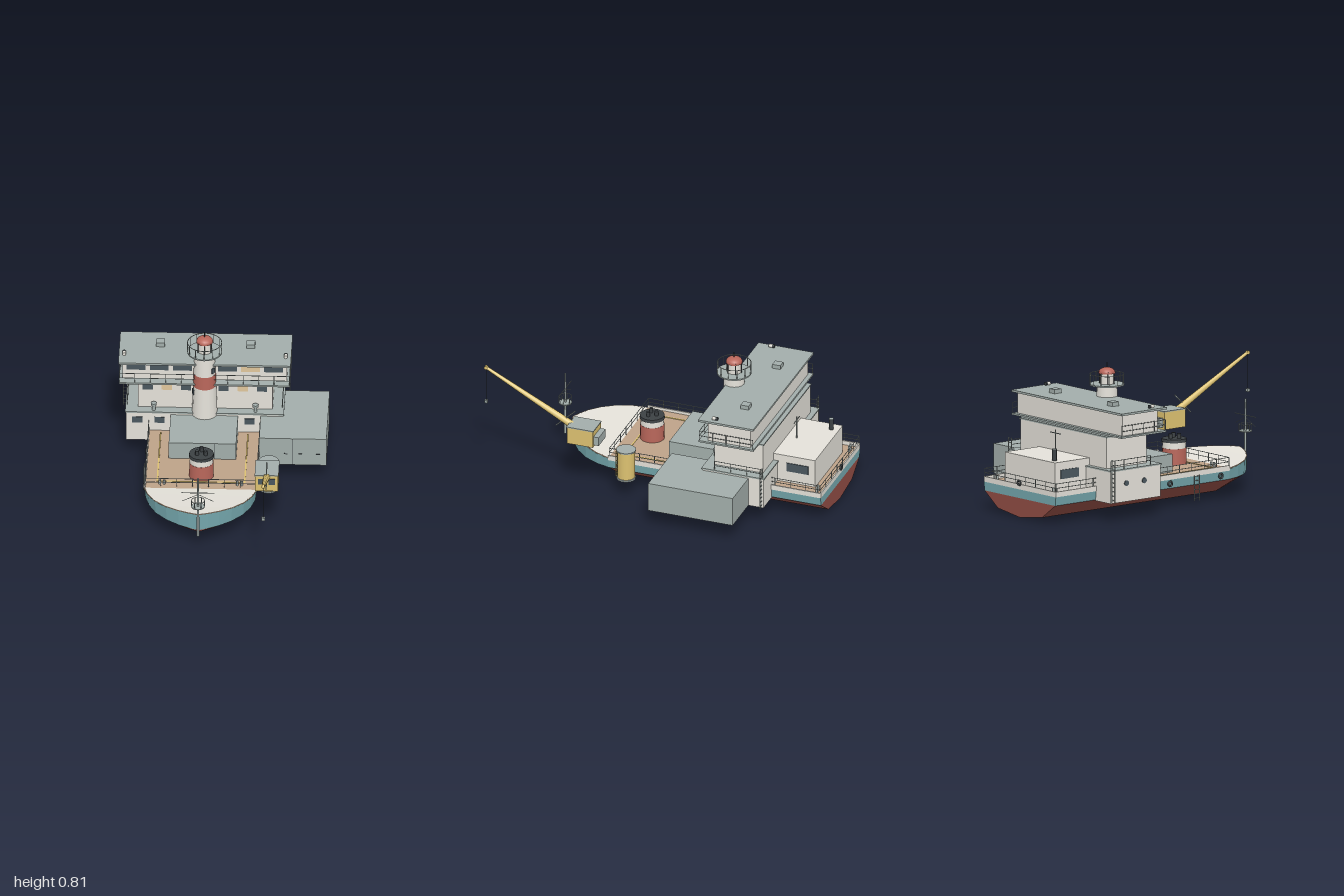
import * as THREE from 'three';

const mat = (name, color) => {
  const m = new THREE.MeshStandardMaterial({ color });
  m.name = name;
  return m;
};
const M = {
  hull: mat('hull red', 0x904c44), teal: mat('teal', 0x74a6ac), cream: mat('cream', 0xe4e1d9),
  grey: mat('grey', 0xa2adaa), deck: mat('deck tan', 0xbda288), yellow: mat('yellow', 0xdcc170),
  red: mat('signal red', 0xb8665a), glass: mat('dark glass', 0x4a565e), dark: mat('black', 0x3c4144),
  lit: mat('lit window', 0xe0c69c),
};
const CX = -0.105; // centre line of the ship
const UP = new THREE.Vector3(0, 1, 0);

export function createModel() {
  const root = new THREE.Group();
  root.name = 'harbourShip';

  const add = (name, geo, material, x = 0, y = 0, z = 0, parent = root) => {
    const m = new THREE.Mesh(geo, material);
    m.name = name;
    m.position.set(x, y, z);
    parent.add(m);
    return m;
  };
  // box given by its limits
  const box = (name, material, x0, x1, y0, y1, z0, z1) =>
    add(name, new THREE.BoxGeometry(x1 - x0, y1 - y0, z1 - z0), material, (x0 + x1) / 2, (y0 + y1) / 2, (z0 + z1) / 2);
  const cyl = (name, material, r0, r1, y0, y1, x, z, n = 16) =>
    add(name, new THREE.CylinderGeometry(r1, r0, y1 - y0, n), material, x, (y0 + y1) / 2, z);
  // round bar between two points
  const bar = (name, material, a, b, r0, r1 = r0, n = 5, parent = root) => {
    const A = new THREE.Vector3(...a), B = new THREE.Vector3(...b), d = B.clone().sub(A);
    const m = add(name, new THREE.CylinderGeometry(r1, r0, d.length(), n), material, 0, 0, 0, parent);
    m.position.copy(A).add(B).multiplyScalar(0.5);
    m.quaternion.setFromUnitVectors(UP, d.normalize());
    return m;
  };
  // railing with posts along a path
  const railing = (name, path, h, levels = 2, r = 0.002, gap = 0.09) => {
    const g = new THREE.Group();
    g.name = name;
    root.add(g);
    for (let i = 0; i + 1 < path.length; i++) {
      const [a, b] = [path[i], path[i + 1]];
      for (let k = 1; k <= levels; k++) {
        const lift = p => [p[0], p[1] + h * k / levels, p[2]];
        bar('rail', M.grey, lift(a), lift(b), r, r, 5, g);
      }
      const n = Math.max(1, Math.round(Math.hypot(b[0] - a[0], b[2] - a[2]) / gap));
      for (let k = 0; k <= n; k++) {
        const p = a.map((v, j) => v + (b[j] - v) * k / n);
        bar('post', M.grey, p, [p[0], p[1] + h, p[2]], r, r, 5, g);
      }
    }
  };
  const ladder = (name, material, x, z, y0, y1, dx, dz) => {
    const g = new THREE.Group();
    g.name = name;
    root.add(g);
    for (const s of [-1, 1]) bar('stile', material, [x + s * dx, y0, z + s * dz], [x + s * dx, y1, z + s * dz], 0.003, 0.003, 5, g);
    for (let y = y0 + 0.015; y < y1; y += 0.025) bar('rung', material, [x - dx, y, z - dz], [x + dx, y, z + dz], 0.002, 0.002, 5, g);
  };
  // faceted skin through cross-sections
  const loft = (name, material, secs) => {
    const pos = [];
    for (let i = 0; i + 1 < secs.length; i++) for (let j = 0; j + 1 < secs[i].length; j++) {
      const [a, b, c, d] = [secs[i][j], secs[i][j + 1], secs[i + 1][j + 1], secs[i + 1][j]];
      pos.push(...a, ...d, ...c, ...a, ...c, ...b);
    }
    const g = new THREE.BufferGeometry();
    g.setAttribute('position', new THREE.Float32BufferAttribute(pos, 3));
    g.computeVertexNormals();
    add(name, g, material);
  };

  // hull: stations are [z, half width, keel y, sheer y]
  const stations = [[-0.99, 0.315, 0, 0.165], [0.28, 0.315, 0, 0.175], [0.36, 0.292, 0.025, 0.183], [0.44, 0.25, 0.05, 0.192],
    [0.51, 0.185, 0.07, 0.2], [0.56, 0.115, 0.085, 0.207], [0.59, 0.055, 0.094, 0.211], [0.61, 0.003, 0.1, 0.214]];
  const under = ([z, w, k]) => [[w * 0.98, 0.11], [w * 0.61, k + (0.11 - k) * 0.24], [0, k], [-w * 0.61, k + (0.11 - k) * 0.24], [-w * 0.98, 0.11]]
    .map(([x, y]) => [CX + x, y, z]);
  loft('hullBottom', M.hull, stations.map(under));
  for (const s of [1, -1]) loft('hullSide', M.teal, stations.map(([z, w, , t]) => {
    const p = [[CX + s * w, t, z], [CX + s * w * 0.98, 0.11, z]];
    return s > 0 ? p : p.reverse();
  }));
  const deckOf = ([z, w, , t]) => [[CX - w, t, z], [CX + w, t, z]];
  loft('mainDeck', M.deck, stations.slice(0, 2).map(deckOf));
  loft('foreDeck', M.cream, stations.slice(1).map(deckOf));
  const transom = (name, material, pts) => {
    const g = new THREE.ShapeGeometry(new THREE.Shape(pts.map(p => new THREE.Vector2(...p))));
    g.rotateY(Math.PI);
    add(name, g, material, CX, 0, -0.99);
  };
  transom('transomBottom', M.hull, under(stations[0]).map(p => [p[0] - CX, p[1]]));
  transom('transomBand', M.teal, [[-0.309, 0.11], [0.309, 0.11], [0.315, 0.165], [-0.315, 0.165]]);
  for (const s of [-1, 1]) for (let i = 1; i + 1 < stations.length; i++) {
    const [p, q] = [stations[i], stations[i + 1]];
    bar('bowTrim', M.deck, [CX + s * p[1], p[3] - 0.002, p[0]], [CX + s * q[1], q[3] - 0.002, q[0]], 0.003);
  }

  // low bulwark, deck line and rails
  for (const s of [-1, 1]) {
    const x = CX + s * 0.312;
    box('bulwark', M.cream, x - 0.004, x + 0.004, 0.16, 0.19, -0.99, 0.28);
    box('deckLine', M.yellow, CX + s * 0.245 - 0.004, CX + s * 0.245 + 0.004, 0.165, 0.177, -0.3, 0.212);
    for (const z of [-0.95, 0.235]) for (const dx of [0.205, 0.23]) cyl('bollard', M.grey, 0.007, 0.007, 0.16, 0.2, CX + s * (dx + (z < 0 ? 0.04 : 0)), z, 8);
  }
  box('sternBulwark', M.cream, CX - 0.312, CX + 0.312, 0.16, 0.19, -0.992, -0.984);
  box('deckLine', M.yellow, CX - 0.245, CX + 0.245, 0.165, 0.177, 0.204, 0.212);
  railing('deckRailing', [[-0.417, 0.185, 0.275], [-0.417, 0.185, -0.987], [0.207, 0.185, -0.987], [0.207, 0.185, 0.275], [-0.417, 0.185, 0.275]], 0.05);
  for (const s of [-1, 1]) for (const z of [-0.16, 0.21])
    add('tyreFender', new THREE.TorusGeometry(0.013, 0.006, 6, 12), M.dark, CX + s * 0.32, 0.138, z).rotation.y = Math.PI / 2;
  add('tyreFender', new THREE.TorusGeometry(0.013, 0.006, 6, 12), M.dark, CX, 0.198, -0.996);
  ladder('boardingLadder', M.grey, -0.43, 0.03, 0.02, 0.165, 0, 0.018);

  // accommodation block, three storeys
  box('lowerHouse', M.cream, -0.545, 0.335, 0.105, 0.285, -0.695, -0.33);
  box('lowerRoof', M.grey, -0.55, 0.34, 0.285, 0.293, -0.7, -0.325);
  box('middleHouse', M.cream, -0.48, 0.275, 0.293, 0.475, -0.67, -0.38);
  box('middleRoof', M.grey, -0.485, 0.28, 0.468, 0.476, -0.675, -0.375);
  box('balconyFloor', M.grey, -0.585, 0.375, 0.476, 0.486, -0.65, -0.322);
  box('upperHouse', M.cream, -0.565, 0.355, 0.486, 0.608, -0.625, -0.37);
  box('upperRoof', M.grey, -0.588, 0.378, 0.606, 0.618, -0.65, -0.32);
  railing('balconyRailing', [[-0.582, 0.486, -0.645], [-0.582, 0.486, -0.325], [0.372, 0.486, -0.325], [0.372, 0.486, -0.645]], 0.06);
  for (const x of [-0.54, 0.33]) railing('sideRailing', [[x, 0.29, -0.69], [x, 0.29, -0.4]], 0.055);
  for (const x of [-0.558, 0.348]) ladder('houseLadder', M.grey, x, -0.685, 0.11, 0.355, 0.014, 0);
  const frontWindows = (xs, litAt, w, y0, y1, z) => xs.forEach((x, i) =>
    box('window', litAt.includes(i) ? M.lit : M.glass, x - w / 2, x + w / 2, y0, y1, z - 0.002, z + 0.004));
  frontWindows([-0.49, -0.36, -0.23, 0.023, 0.152, 0.28], [4], 0.106, 0.546, 0.583, -0.37);
  frontWindows([-0.425, -0.318, -0.211, 0, 0.108, 0.215], [1, 4], 0.057, 0.41, 0.448, -0.38);
  frontWindows([-0.482, -0.357, 0.147, 0.272], [], 0.057, 0.222, 0.259, -0.33);
  for (const z of [-0.45, -0.58])
    add('porthole', new THREE.CylinderGeometry(0.016, 0.016, 0.006, 14), M.glass, -0.546, 0.21, z).rotation.z = Math.PI / 2;
  for (const s of [-1, 1]) {
    const vx = CX + s * 0.285;
    cyl('ventStem', M.grey, 0.01, 0.01, 0.29, 0.33, vx, -0.352, 10);
    cyl('ventCap', M.grey, 0.017, 0.017, 0.325, 0.338, vx, -0.352, 10);
    const rx = CX + s * 0.253;
    box('roofVent', M.grey, rx - 0.024, rx + 0.024, 0.615, 0.642, -0.545, -0.497);
    add('searchLight', new THREE.CylinderGeometry(0.01, 0.01, 0.02, 10), M.cream, CX + s * 0.453, 0.629, -0.405).rotation.x = Math.PI / 2;
    add('searchLightBack', new THREE.CylinderGeometry(0.01, 0.01, 0.012, 10), M.dark, CX + s * 0.453, 0.629, -0.421).rotation.x = Math.PI / 2;
  }

  // stern deckhouse
  box('sternHouse', M.cream, -0.33, 0.11, 0.16, 0.335, -0.92, -0.67);
  for (const x of [-0.33, 0.11]) box('sternWindow', M.glass, x - 0.004, x + 0.004, 0.238, 0.29, -0.88, -0.75);
  cyl('stovePipe', M.dark, 0.013, 0.013, 0.33, 0.398, -0.27, -0.875, 10);
  cyl('stoveCap', M.grey, 0.013, 0.013, 0.398, 0.402, -0.27, -0.875, 10);
  bar('aerial', M.grey, [CX, 0.33, -0.73], [CX, 0.47, -0.73], 0.004);
  bar('aerialBar', M.grey, [CX - 0.045, 0.45, -0.73], [CX + 0.045, 0.45, -0.73], 0.003);

  // light tower
  const TZ = -0.355;
  const towerR = y => 0.076 - 0.036 * (y - 0.16);
  [[0.16, 0.465, M.cream], [0.465, 0.545, M.red], [0.545, 0.68, M.cream]].forEach(([a, b, m]) =>
    cyl('towerSection', m, towerR(a), towerR(b), a, b, CX, TZ, 16));
  for (const [a, y] of [[0.9, 0.58], [-1.25, 0.43]]) {
    const r = towerR(y);
    add('towerWindow', new THREE.BoxGeometry(0.022, 0.032, 0.009), M.glass, CX + Math.sin(a) * r, y, TZ + Math.cos(a) * r).rotation.y = a;
  }
  cyl('gallery', M.grey, 0.098, 0.098, 0.68, 0.688, CX, TZ, 24);
  add('galleryRail', new THREE.TorusGeometry(0.096, 0.0022, 5, 24), M.grey, CX, 0.743, TZ).rotation.x = Math.PI / 2;
  for (let i = 0; i < 12; i++) {
    const a = i * Math.PI / 6, c = Math.cos(a), s = Math.sin(a);
    bar('galleryPost', M.grey, [CX + c * 0.096, 0.685, TZ + s * 0.096], [CX + c * 0.096, 0.743, TZ + s * 0.096], 0.0022);
    if (i % 2) bar('lanternPost', M.dark, [CX + c * 0.043, 0.685, TZ + s * 0.043], [CX + c * 0.043, 0.757, TZ + s * 0.043], 0.003);
  }
  cyl('lantern', M.cream, 0.04, 0.04, 0.688, 0.755, CX, TZ);
  add('dome', new THREE.SphereGeometry(0.047, 16, 6, 0, Math.PI * 2, 0, Math.PI / 2), M.red, CX, 0.752, TZ).scale.y = 0.62;
  cyl('domeBase', M.red, 0.047, 0.047, 0.747, 0.753, CX, TZ);
  bar('finial', M.dark, [CX, 0.778, TZ], [CX, 0.81, TZ], 0.003);

  // deck store, with hatch seams on its front
  box('deckStore', M.grey, -0.295, 0.083, 0.16, 0.275, -0.33, -0.036);
  for (const x of [-0.17, -0.04]) box('storeSeam', M.dark, x - 0.001, x + 0.001, 0.17, 0.272, -0.037, -0.035);

  // side container
  box('container', M.grey, 0.21, 0.587, 0.105, 0.277, -0.605, -0.1);
  box('doorSeam', M.dark, 0.397, 0.4, 0.108, 0.274, -0.101, -0.098);
  for (const x of [0.36, 0.44, 0.54]) box('doorHandle', M.dark, x - 0.01, x + 0.01, 0.176, 0.18, -0.101, -0.096);

  // funnel
  [[0.16, 0.265, 0.07, M.red], [0.265, 0.3, 0.067, M.cream], [0.3, 0.318, 0.071, M.dark]].forEach(([a, b, r, m]) =>
    cyl('funnelSection', m, r, r - 0.002, a, b, CX, 0.135, 18));
  for (const [dx, dz] of [[-0.024, 0.015], [0.024, 0.015], [0, -0.025]]) cyl('exhaust', M.dark, 0.011, 0.011, 0.315, 0.345, CX + dx, 0.135 + dz, 8);

  // bow mast
  const BZ = 0.655;
  cyl('mast', M.grey, 0.008, 0.005, 0.1, 0.48, CX, BZ, 8);
  cyl('mastPlatform', M.grey, 0.037, 0.037, 0.293, 0.299, CX, BZ, 16);
  add('mastRail', new THREE.TorusGeometry(0.036, 0.002, 5, 16), M.grey, CX, 0.335, BZ).rotation.x = Math.PI / 2;
  for (let i = 0; i < 6; i++) {
    const x = CX + 0.036 * Math.cos(i * Math.PI / 3), z = BZ + 0.036 * Math.sin(i * Math.PI / 3);
    bar('mastRailPost', M.grey, [x, 0.296, z], [x, 0.335, z], 0.002);
  }
  bar('yard', M.grey, [CX - 0.092, 0.385, BZ], [CX + 0.092, 0.385, BZ], 0.0025);
  for (const s of [-1, 1]) bar('stay', M.grey, [CX, 0.375, BZ], [CX + s * 0.088, 0.33, BZ], 0.0015);

  // crane
  const KX = 0.273;
  cyl('cranePillar', M.yellow, 0.05, 0.05, 0.115, 0.28, KX, 0.15, 18);
  cyl('pillarFoot', M.grey, 0.055, 0.055, 0.105, 0.115, KX, 0.15, 18);
  cyl('pillarTop', M.grey, 0.056, 0.056, 0.28, 0.288, KX, 0.15, 18);
  ladder('pillarLadder', M.yellow, KX, 0.205, 0.115, 0.27, 0.014, 0);
  box('craneCab', M.yellow, 0.208, 0.338, 0.295, 0.394, 0.325, 0.48);
  box('cabRoof', M.grey, 0.206, 0.34, 0.394, 0.4, 0.322, 0.483);
  box('counterweight', M.grey, 0.218, 0.328, 0.308, 0.36, 0.293, 0.325);
  for (const s of [-1, 1]) box('cabWindow', M.glass, KX + s * 0.029 - 0.018, KX + s * 0.029 + 0.018, 0.34, 0.376, 0.478, 0.484);
  bar('boom', M.yellow, [KX, 0.378, 0.465], [KX, 0.648, 0.985], 0.021, 0.009, 8);
  bar('boomStrut', M.grey, [KX, 0.47, 0.455], [KX, 0.36, 0.57], 0.004);
  add('boomSheave', new THREE.CylinderGeometry(0.011, 0.011, 0.016, 12), M.yellow, KX, 0.648, 0.987).rotation.z = Math.PI / 2;
  bar('hoistCable', M.dark, [KX, 0.645, 0.987], [KX, 0.44, 0.987], 0.001);
  box('hookBlock', M.grey, KX - 0.009, KX + 0.009, 0.425, 0.442, 0.979, 0.995);
  return root;
}
